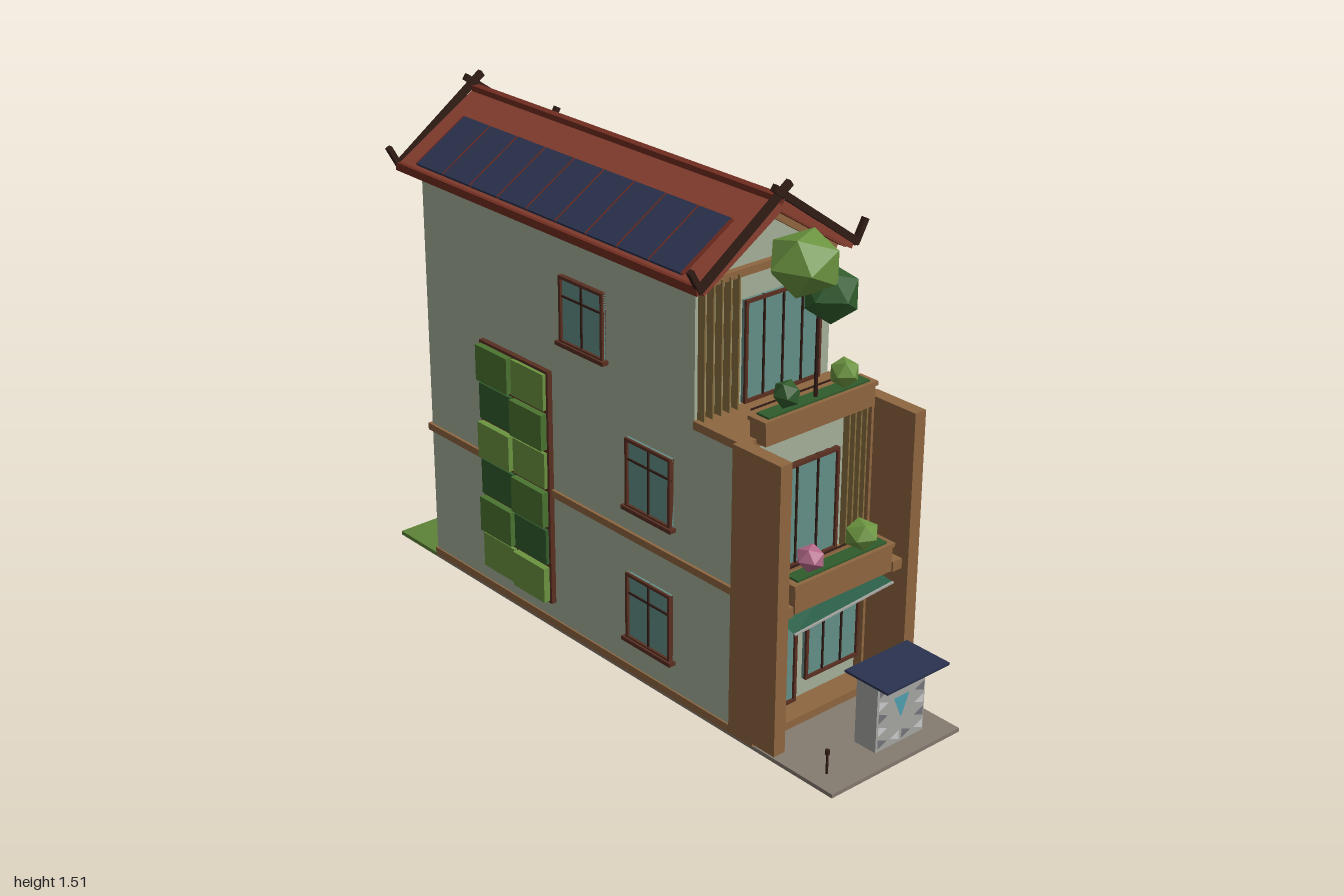
import * as THREE from 'three';

const mat = (color, side = THREE.FrontSide) => new THREE.MeshStandardMaterial({ color, side, flatShading: true, roughness: 0.9 });
const M = {
  wall: mat(0xa5b199), wood: mat(0x8f6640), dark: mat(0x321c16), frame: mat(0x5a2f22), roof: mat(0x8a4030),
  trim: mat(0x6f2c20), glass: mat(0x649088), solar: mat(0x2b3350), paving: mat(0x857b70), grey: mat(0xa6a6a3),
  light: mat(0x6b9440), mid: mat(0x4a7431), deep: mat(0x315c2d), pink: mat(0xb56a8b), grass: mat(0x5d8338),
  tan: mat(0x8a7040), awning: mat(0x2c6049, THREE.DoubleSide), shade: mat(0x77757d), white: mat(0xdededb), cyan: mat(0x4fa0b0),
};

function add(parent, name, geo, material, x = 0, y = 0, z = 0) {
  const m = new THREE.Mesh(geo, material);
  m.name = name;
  m.position.set(x, y, z);
  parent.add(m);
  return m;
}

// Box given by its limits on each axis
const box = (p, name, material, x0, x1, y0, y1, z0, z1) =>
  add(p, name, new THREE.BoxGeometry(x1 - x0, y1 - y0, z1 - z0), material, (x0 + x1) / 2, (y0 + y1) / 2, (z0 + z1) / 2);

// Bar between two points in the xy plane
function bar(p, name, material, a, b, thick, depth, z) {
  const dx = b[0] - a[0], dy = b[1] - a[1];
  const m = add(p, name, new THREE.BoxGeometry(Math.hypot(dx, dy), thick, depth), material, (a[0] + b[0]) / 2, (a[1] + b[1]) / 2, z);
  m.rotation.z = Math.atan2(dy, dx);
  return m;
}

// Closed outline in xy, extruded from z0 to z1
function prism(p, name, material, pts, z0, z1) {
  const shape = new THREE.Shape(pts.map(([x, y]) => new THREE.Vector2(x, y)));
  return add(p, name, new THREE.ExtrudeGeometry(shape, { depth: z1 - z0, bevelEnabled: false }), material, 0, 0, z0);
}

// Framed window facing +z, centred on its own origin
function makeWindow(name, w, h, verticals, bars = [], sill = true) {
  const g = new THREE.Group(), t = 0.009;
  g.name = name;
  box(g, 'glass', M.glass, -w / 2, w / 2, -h / 2, h / 2, -0.005, 0.005);
  for (const s of [-1, 1]) {
    add(g, 'frameSide', new THREE.BoxGeometry(t, h, 0.02), M.frame, s * (w - t) / 2, 0, 0.003);
    add(g, 'frameRail', new THREE.BoxGeometry(w, t, 0.02), M.frame, 0, s * (h - t) / 2, 0.003);
  }
  for (const f of verticals) add(g, 'mullion', new THREE.BoxGeometry(0.005, h, 0.014), M.dark, (f - 0.5) * w, 0, 0.003);
  for (const f of bars) add(g, 'crossbar', new THREE.BoxGeometry(w, 0.005, 0.014), M.dark, 0, (f - 0.5) * h, 0.003);
  if (sill) box(g, 'sill', M.frame, -w / 2 - 0.01, w / 2 + 0.01, -h / 2 - 0.008, -h / 2 + 0.004, -0.005, 0.02);
  return g;
}

function place(parent, obj, x, y, z, ry = 0) {
  obj.position.set(x, y, z);
  obj.rotation.y = ry;
  parent.add(obj);
}

// Faceted clump of leaves
function leaves(p, name, material, r, x, y, z, sy = 1, turn = 0) {
  const m = add(p, name, new THREE.IcosahedronGeometry(r, 0), material, x, y, z);
  m.scale.y = sy;
  m.rotation.y = turn;
}

export function createModel() {
  const root = new THREE.Group();
  root.name = 'townhouse';

  // Ground
  box(root, 'groundSlab', M.paving, -0.245, 0.245, 0, 0.012, -0.76, 1.0);
  box(root, 'backLawn', M.grass, -0.245, 0.245, 0, 0.013, -0.95, -0.76);

  // Walls, plinth and floor band
  box(root, 'lowerWalls', M.wall, -0.245, 0.245, 0.012, 0.876, -0.75, 0.62);
  prism(root, 'upperWalls', M.wall, [[-0.245, 0.876], [0.245, 0.876], [0.245, 1.28], [0, 1.435], [-0.245, 1.28]], -0.75, 0.45);
  box(root, 'plinth', M.wood, -0.25, 0.25, 0.012, 0.036, -0.755, 0.7);
  box(root, 'floorBand', M.wood, -0.254, 0.254, 0.444, 0.466, -0.76, 0.63);
  box(root, 'terraceSlab', M.wood, -0.25, 0.25, 0.872, 0.896, 0.45, 0.64);

  // Front pillars
  for (const s of [-1, 1]) {
    add(root, 'pillar', new THREE.BoxGeometry(0.04, 0.86, 0.18), M.wood, s * 0.245, 0.466, 0.71);
    add(root, 'pillarInnerStrip', new THREE.BoxGeometry(0.012, 0.86, 0.03), M.wood, s * 0.222, 0.466, 0.635);
  }

  // Roof shell with ridge cap and eave trims
  prism(root, 'roof', M.roof, [[-0.285, 1.275], [-0.245, 1.275], [0, 1.432], [0.245, 1.275], [0.285, 1.275], [0.285, 1.292], [0, 1.468], [-0.285, 1.292]], -0.81, 0.5);
  box(root, 'ridgeCap', M.trim, -0.013, 0.013, 1.452, 1.477, -0.81, 0.5);
  for (const s of [-1, 1]) add(root, 'eaveTrim', new THREE.BoxGeometry(0.014, 0.024, 1.32), M.trim, s * 0.283, 1.285, -0.155);

  // Crossed gable boards with upturned tips, and gable timbers
  for (const z of [-0.815, 0.505]) for (const s of [-1, 1]) {
    const zz = z + s * 0.003;
    bar(root, 'bargeBoard', M.dark, [-s * 0.032, 1.506], [s * 0.282, 1.284], 0.02, 0.016, zz);
    bar(root, 'bargeTip', M.dark, [s * 0.274, 1.28], [s * 0.311, 1.345], 0.016, 0.016, zz);
    bar(root, 'innerBarge', M.roof, [0, 1.447], [s * 0.27, 1.277], 0.022, 0.012, z > 0 ? z - 0.005 : z + 0.005);
  }
  for (const z of [-0.758, 0.458]) {
    box(root, 'gableTie', M.wood, -0.245, 0.245, 1.268, 1.29, z - 0.012, z + 0.012);
    for (const s of [-1, 1]) bar(root, 'gableRafter', M.wood, [0, 1.42], [s * 0.245, 1.268], 0.018, 0.024, z);
  }

  // Solar panels, nine on each slope
  const tilt = Math.atan2(0.176, 0.285);
  for (const s of [-1, 1]) for (let i = 0; i < 9; i++) {
    const m = add(root, 'solarPanel', new THREE.BoxGeometry(0.205, 0.01, 0.122), M.solar, s * 0.184, 1.36, 0.362 - i * 0.129);
    m.rotation.z = -s * tilt;
  }
  for (const s of [-1, 1]) for (let i = 0; i < 10; i++) {
    const m = add(root, 'panelRail', new THREE.BoxGeometry(0.205, 0.011, 0.004), M.trim, s * 0.184, 1.36, 0.4265 - i * 0.129);
    m.rotation.z = -s * tilt;
  }

  // Side windows and planted wall panels
  const tones = ['light', 'mid', 'mid', 'deep', 'light', 'light', 'mid', 'deep', 'deep', 'mid', 'light', 'light'];
  for (const s of [-1, 1]) {
    const turn = s * Math.PI / 2;
    for (const [z, y, h] of [[0.275, 0.65, 0.21], [0.275, 0.233, 0.21], [-0.005, 1.047, 0.2]])
      place(root, makeWindow('sideWindow', 0.188, h, [0.5], [0.7]), s * 0.247, y, z, turn);
    add(root, 'greenWallFrame', new THREE.BoxGeometry(0.016, 0.745, 0.32), M.frame, s * 0.253, 0.465, -0.313);
    tones.forEach((tone, i) => {
      const row = Math.floor(i / 2), col = i % 2, d = (row + col) % 2 ? 0.034 : 0.024;
      add(root, 'plantedPanel', new THREE.BoxGeometry(d, 0.112, 0.148), M[tone], s * (0.248 + d / 2), 0.773 - row * 0.1235, -0.236 - col * 0.156);
    });
  }
  place(root, makeWindow('backWindow', 0.235, 0.21, [0.33, 0.67], [0.7]), 0.005, 0.65, -0.752, Math.PI);

  // Front doors and windows
  const front = (name, x0, x1, y0, y1, z, v, b) =>
    place(root, makeWindow(name, x1 - x0, y1 - y0, v, b, false), (x0 + x1) / 2, (y0 + y1) / 2, z);
  front('terraceDoor', -0.08, 0.2, 0.9, 1.195, 0.454, [0.25, 0.5, 0.75]);
  front('balconyDoor', -0.195, 0.115, 0.468, 0.775, 0.624, [0.25, 0.5, 0.75]);
  front('entranceDoor', -0.195, -0.025, 0.037, 0.355, 0.624, [0.5]);
  front('shopWindow', 0.01, 0.217, 0.09, 0.375, 0.624, [0.33, 0.67]);
  box(root, 'doorHeader', M.wall, -0.225, 0.225, 0.36, 0.372, 0.62, 0.635);

  // Upright slats beside the doors
  for (let i = 0; i < 5; i++) {
    box(root, 'terraceSlat', M.tan, -0.235 + i * 0.03, -0.23 + i * 0.03, 0.896, 1.28, 0.45, 0.476);
    if (i < 4) box(root, 'balconySlat', M.tan, 0.14 + i * 0.022, 0.145 + i * 0.022, 0.466, 0.872, 0.62, 0.642);
  }

  // Planter troughs with soil bed, rail and shrubs
  function planter(name, x, y0, y1, z0, z1) {
    box(root, name, M.wood, -x, x, y0, y1, z0, z1);
    box(root, name + 'Rim', M.wood, -x - 0.006, x + 0.006, y1 - 0.012, y1, z0 - 0.004, z1 + 0.004);
    box(root, name + 'Bed', M.deep, -x + 0.015, x - 0.015, y1 - 0.01, y1 + 0.006, z0 + 0.008, z1 - 0.008);
    box(root, name + 'Rail', M.dark, -x, x - 0.02, y1 + 0.014, y1 + 0.018, z0, z0 + 0.004);
  }
  planter('terracePlanter', 0.2, 0.885, 0.956, 0.615, 0.675);
  planter('balconyPlanter', 0.182, 0.432, 0.518, 0.72, 0.78);
  box(root, 'balconyFloor', M.wood, -0.2, 0.2, 0.428, 0.452, 0.62, 0.775);
  for (const s of [-1, 1]) add(root, 'balconyBracket', new THREE.BoxGeometry(0.035, 0.03, 0.16), M.wood, s * 0.205, 0.442, 0.7);
  leaves(root, 'terraceShrub', M.deep, 0.04, -0.105, 1.0, 0.65, 1, 0.3);
  leaves(root, 'terraceShrub', M.light, 0.043, 0.105, 1.0, 0.65, 1, 0.9);
  leaves(root, 'flowerBush', M.pink, 0.042, -0.1, 0.56, 0.75, 0.9, 0.5);
  leaves(root, 'balconyShrub', M.light, 0.052, 0.09, 0.565, 0.75, 0.85, 1.1);

  // Sloping fabric awning below the balcony
  const cloth = new THREE.BufferGeometry();
  cloth.setAttribute('position', new THREE.Float32BufferAttribute(
    [-0.19, 0.428, 0.63, 0.18, 0.425, 0.63, -0.19, 0.378, 0.79, 0.18, 0.403, 0.79], 3));
  cloth.setIndex([0, 2, 1, 1, 2, 3]);
  cloth.computeVertexNormals();
  add(root, 'awning', cloth, M.awning);
  bar(root, 'awningEdge', M.grey, [-0.19, 0.378], [0.18, 0.403], 0.005, 0.006, 0.79);

  // Trees
  function tree(name, x, z, y0, y1) {
    add(root, name, new THREE.CylinderGeometry(0.004, 0.006, y1 - y0, 6), M.dark, x, (y0 + y1) / 2, z);
  }
  tree('terraceTreeTrunk', 0, 0.65, 0.95, 1.3);
  leaves(root, 'terraceTreeTop', M.light, 0.107, -0.032, 1.337, 0.63, 0.85, 0.4);
  leaves(root, 'terraceTreeLower', M.deep, 0.08, 0.025, 1.25, 0.67, 1, 0.8);
  tree('backTreeTrunk', 0.08, -0.865, 0.01, 0.36);
  leaves(root, 'backTreeTop', M.mid, 0.1, 0.06, 0.365, -0.89, 0.87, 0.2);
  leaves(root, 'backTreeLower', M.deep, 0.108, 0.1, 0.275, -0.892, 0.8, 0.7);

  // Stall counter with a triangle pattern and a flat canopy
  box(root, 'stall', M.grey, -0.02, 0.165, 0.012, 0.22, 0.86, 0.938);
  for (const x of [-0.012, 0.157]) for (const z of [0.868, 0.93])
    box(root, 'canopyPost', M.dark, x - 0.003, x + 0.003, 0.2, 0.236, z - 0.003, z + 0.003);
  box(root, 'stallCanopy', M.solar, -0.05, 0.19, 0.234, 0.241, 0.842, 1.0);
  const tri = (w, h) => new THREE.ShapeGeometry(new THREE.Shape([[-w, -h], [w, -h], [0, h]].map(([x, y]) => new THREE.Vector2(x, y))));
  for (let r = 0; r < 5; r++) for (let c = 0; c < 4; c++) {
    if (r > 0 && r < 4 && (c === 1 || c === 2)) continue;
    const m = add(root, 'patternTriangle', tri(0.015, 0.018), (r + c) % 2 ? M.white : M.shade, 0.004 + c * 0.046, 0.196 - r * 0.04, 0.94);
    m.rotation.z = (c % 2 ? 1 : -1) * Math.PI / 2;
  }
  add(root, 'patternCentre', tri(0.03, 0.034), M.cyan, 0.072, 0.125, 0.9405).rotation.z = Math.PI;

  // Small path lamp
  add(root, 'lampPost', new THREE.CylinderGeometry(0.003, 0.004, 0.07, 6), M.dark, -0.185, 0.045, 0.92);
  add(root, 'lampHead', new THREE.CylinderGeometry(0.007, 0.007, 0.014, 6), M.dark, -0.185, 0.078, 0.92);

  return root;
}
